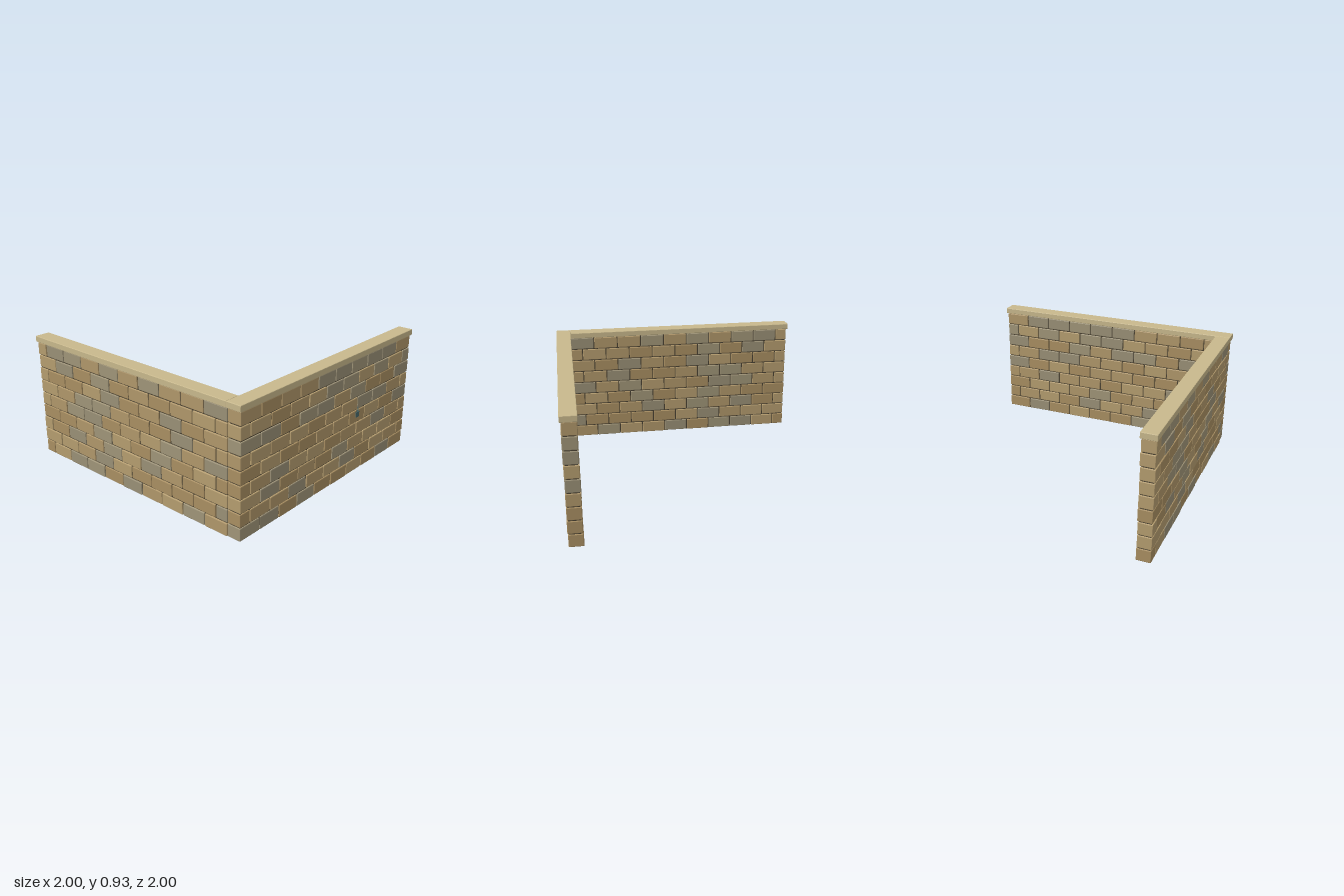
import * as THREE from 'three';
import { RoundedBoxGeometry } from 'three/addons/geometries/RoundedBoxGeometry.js';

const ROW = 0.0992, BRICK = 0.198, DEPTH = 0.104, ROWS = 9, GAP = 0.007;
const mat = (color) => new THREE.MeshStandardMaterial({ color, flatShading: true });
const tan = [0xb0976a, 0xa98f62, 0xb59d6f].map(mat);
const grey = [0xa09578, 0x9a9076].map(mat);
const mortar = mat(0x4a4232), stone = mat(0xc8b88c), teal = mat(0x48686a);

// Indices of the greyer bricks in each course, from the bottom up
const FRONT_GREY = [[0, 1, 3, 8], [3, 6], [1, 5], [2, 8], [9], [7, 8], [0, 1, 3, 4, 6, 9], [5, 6, 8, 10], [4, 5, 6, 7, 8]];
const SIDE_GREY = [[1, 4, 6, 7], [0, 6], [3, 5, 7], [3, 6], [0, 2, 6, 7], [2, 6, 7], [2, 5], [6, 8], [0, 3, 5, 7, 8]];

function seeded(seed) {
  return () => (seed = (seed * 16807) % 2147483647) / 2147483647;
}

// Axis-aligned box with slightly worn edges
function block(name, size, pos, material, radius) {
  const mesh = new THREE.Mesh(new RoundedBoxGeometry(...size, 1, radius), material);
  mesh.name = name;
  mesh.position.set(...pos);
  return mesh;
}

// Wall running along local +x from 0 to length, centred on local z = 0
function makeWall(name, length, greyBricks, halfFirst, seed) {
  const wall = new THREE.Group();
  wall.name = name;
  const rand = seeded(seed);
  for (let r = 0; r < ROWS; r++) {
    let x = 0;
    for (let i = 0; x < length - 0.02; i++) {
      const first = i === 0 && halfFirst(r);
      const end = Math.min(length, x + (first ? BRICK / 2 : BRICK));
      const set = greyBricks[r].includes(i) ? grey : tan;
      const brick = block('brick', [end - x - GAP, ROW - GAP, DEPTH],
        [(x + end) / 2, (r + 0.5) * ROW, (rand() - 0.5) * 0.004],
        set[Math.floor(rand() * set.length)], 0.005);
      brick.rotation.z = (rand() - 0.5) * 0.012;
      wall.add(brick);
      x = end;
    }
  }
  const core = new THREE.Mesh(new THREE.BoxGeometry(length - 0.02, ROWS * ROW - 0.008, DEPTH - 0.018), mortar);
  core.name = 'mortar';
  core.position.set(length / 2, ROWS * ROW / 2, 0);
  wall.add(core);
  return wall;
}

// Tiny flat sprig in a square pot, set on the front face
function makeSprig() {
  const sprig = new THREE.Group();
  sprig.name = 'sprig';
  const pot = new THREE.Mesh(new THREE.BoxGeometry(0.04, 0.04, 0.012), teal);
  pot.name = 'pot';
  sprig.add(pot);
  for (const [angle, len] of [[0, 0.07], [0.5, 0.045], [-0.5, 0.045], [0.95, 0.035], [-0.95, 0.035]]) {
    const geo = new THREE.ConeGeometry(0.005, len, 4);
    geo.translate(0, len / 2, 0);
    const leaf = new THREE.Mesh(geo, teal);
    leaf.name = 'leaf';
    leaf.position.y = 0.01;
    leaf.rotation.z = angle;
    sprig.add(leaf);
  }
  sprig.position.set(0.295, 0.46, 0.993);
  return sprig;
}

export function createModel() {
  const model = new THREE.Group();
  model.name = 'cornerWall';

  // Front wall: half bricks start the odd courses
  const front = makeWall('frontWall', 1.98, FRONT_GREY, (r) => r % 2 === 1, 11);
  front.position.set(-0.99, 0, 0.94);

  // Side wall runs back from the corner
  const side = makeWall('sideWall', 1.88, SIDE_GREY, (r) => r % 2 === 1, 47);
  side.rotation.y = Math.PI / 2;
  side.position.set(-0.94, 0, 0.89);

  // Coping slabs on top
  const capY = 0.914, capH = 0.045, capW = 0.116;
  const frontCap = block('frontCap', [2, capH, capW], [0, capY, 0.942], stone, 0.004);
  const sideCap = block('sideCap', [capW, capH, 1.884], [-0.942, capY, -0.058], stone, 0.004);

  model.add(front, side, frontCap, sideCap, makeSprig());
  return model;
}
